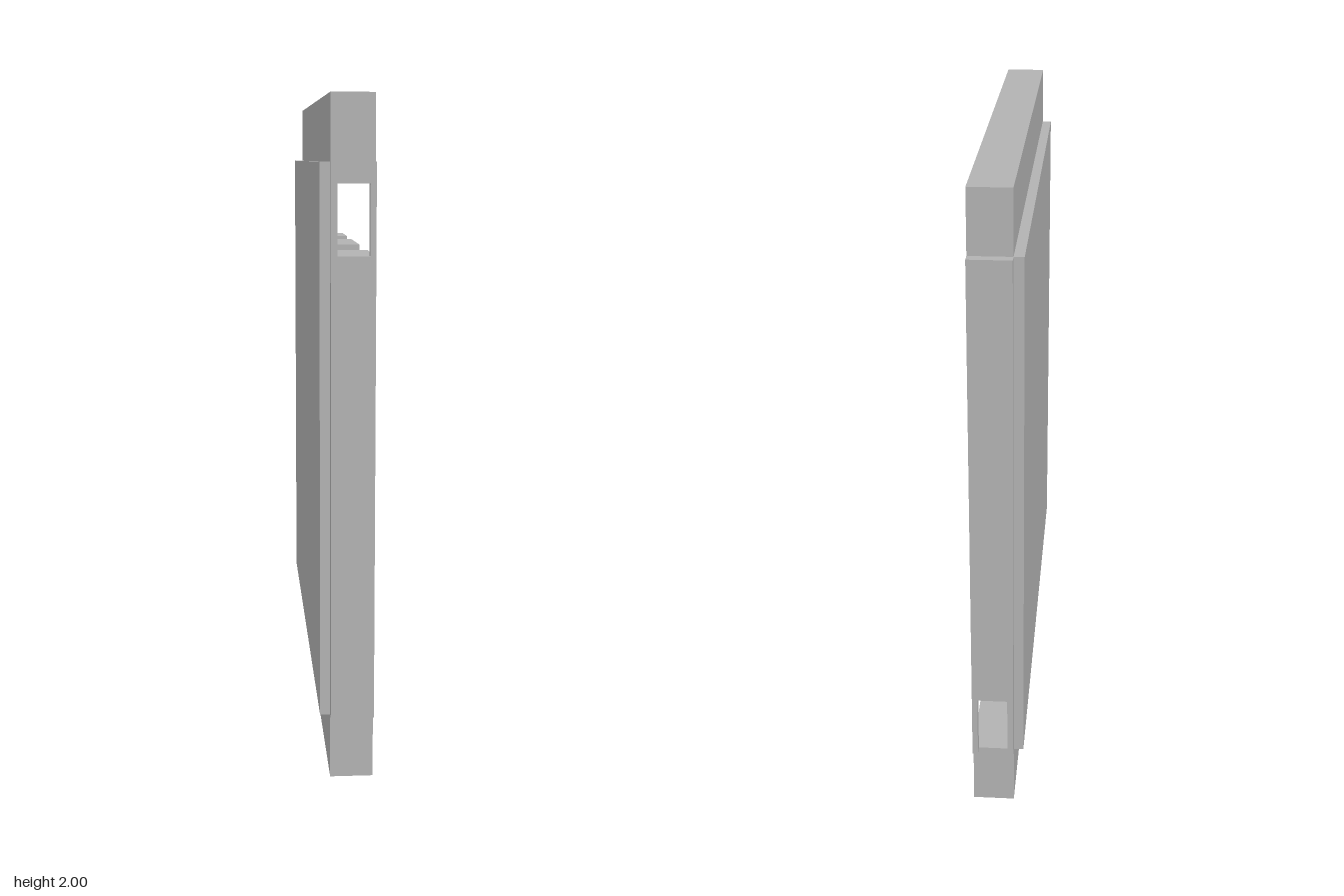
import * as THREE from 'three';

const BACK = -0.05, FACE = 0.077, HALF = 0.808, WALL = 0.84;
const LOW = 0.195, HIGH = 1.81;

export function createModel() {
  const group = new THREE.Group();
  const grey = new THREE.MeshStandardMaterial({ color: 0xb2b2b2 });
  grey.name = 'grey';

  const toShape = (pts) => new THREE.Shape(pts.map(([a, b]) => new THREE.Vector2(a, b)));
  const add = (name, geometry) => {
    const mesh = new THREE.Mesh(geometry, grey);
    mesh.name = name;
    group.add(mesh);
    return mesh;
  };
  // Profile in (-z, y), extruded along x between two planes
  const slab = (name, pts, x0 = BACK, x1 = FACE) => {
    const geo = new THREE.ExtrudeGeometry(toShape(pts), { depth: x1 - x0, bevelEnabled: false });
    geo.rotateY(Math.PI / 2).translate(x0, 0, 0);
    return add(name, geo);
  };
  const rect = (y0, y1) => [[-HALF, y0], [HALF, y0], [HALF, y1], [-HALF, y1]];

  slab('backPanel', rect(LOW, HIGH), -0.08, BACK);
  slab('topBeam', rect(HIGH, 2));

  // Stepped base
  slab('steppedBase', [
    [-HALF, 0], [HALF, 0], [HALF, LOW], [0.415, LOW], [0.415, 0.55], [0.03, 0.55],
    [0.03, 0.68], [-0.555, 0.68], [-0.555, 0.755], [-HALF, 0.755],
  ]);

  // Two notched shelves, the lower one mirrored
  const shelf = [
    [-HALF, 0], [0.42, 0], [0.42, 0.143], [0.225, 0.143], [0.225, 0.07], [0.03, 0.07],
    [0.03, 0.143], [-0.29, 0.143], [-0.29, 0.07], [-0.555, 0.07], [-0.555, 0.143], [-HALF, 0.143],
  ];
  slab('upperShelf', shelf.map(([u, y]) => [u, y + 1.407]));
  slab('lowerShelf', shelf.map(([u, y]) => [-u, y + 0.996]));

  // Side walls: profile in (x, y), extruded along z
  const wall = (name, shape, z0) => {
    const geo = new THREE.ExtrudeGeometry(shape, { depth: WALL - HALF, bevelEnabled: false });
    add(name, geo.translate(0, 0, z0));
  };
  const frontWall = toShape([[BACK, LOW], [FACE, LOW], [FACE, HIGH], [BACK, HIGH]]);
  frontWall.holes.push(toShape([[-0.032, 1.55], [-0.032, 1.75], [0.06, 1.75], [0.06, 1.55]]));
  wall('frontWall', frontWall, HALF);

  // The rear wall's opening runs down to the floor of the recess
  const rearWall = toShape([
    [BACK, LOW], [-0.032, LOW], [-0.032, 0.395], [0.06, 0.395], [0.06, LOW],
    [FACE, LOW], [FACE, HIGH], [BACK, HIGH],
  ]);
  wall('rearWall', rearWall, -WALL);

  return group;
}
